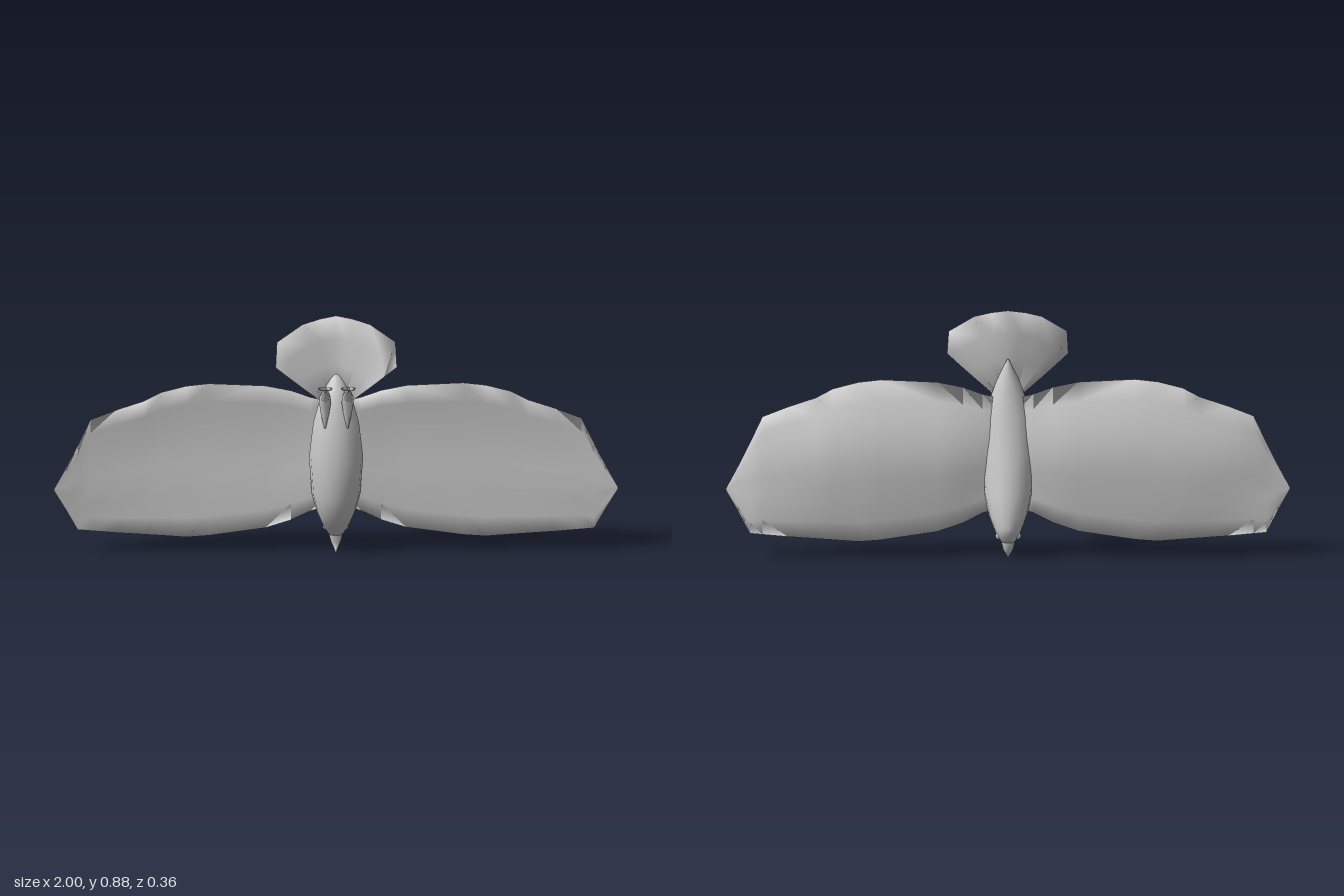
import * as THREE from 'three';
import { mergeVertices } from 'three/addons/utils/BufferGeometryUtils.js';

const grey = new THREE.MeshStandardMaterial({ color: 0xcccccc, side: THREE.DoubleSide });
const V = (x, y, z) => new THREE.Vector3(x, y, z);

// Closed skin through a list of point loops, capped at both ends
function skin(name, loops) {
  const n = loops[0].length, pos = [], idx = [];
  loops.forEach(l => l.forEach(p => pos.push(p.x, p.y, p.z)));
  for (let i = 0; i < loops.length - 1; i++) {
    for (let j = 0; j < n; j++) {
      const a = i * n + j, b = i * n + (j + 1) % n;
      idx.push(a, a + n, b, b, a + n, b + n);
    }
  }
  [0, loops.length - 1].forEach((r, end) => {
    const c = loops[r].reduce((s, p) => s.add(p), V(0, 0, 0)).divideScalar(n);
    const k = pos.length / 3;
    pos.push(c.x, c.y, c.z);
    for (let j = 0; j < n; j++) {
      const a = r * n + j, b = r * n + (j + 1) % n;
      if (end) idx.push(k, b, a); else idx.push(k, a, b);
    }
  });
  let g = new THREE.BufferGeometry();
  g.setAttribute('position', new THREE.Float32BufferAttribute(pos, 3));
  g.setIndex(idx);
  g = mergeVertices(g, 1e-5);
  g.computeVertexNormals();
  const mesh = new THREE.Mesh(g, grey);
  mesh.name = name;
  return mesh;
}

// Horizontal elliptical sections: [y, front z, back z, half width], rising in y
const column = (name, rows, sides, x = 0) => skin(name, rows.map(([y, zf, zb, w]) =>
  Array.from({ length: sides }, (_, j) => {
    const a = j / sides * Math.PI * 2;
    return V(x + Math.cos(a) * w, y, (zf + zb) / 2 + Math.sin(a) * (zf - zb) / 2);
  })));

// Tapered rod between two points
function rod(name, a, b, ra, rb, sides = 5) {
  const m = new THREE.Mesh(new THREE.CylinderGeometry(rb, ra, a.distanceTo(b), sides), grey);
  m.position.copy(a).add(b).multiplyScalar(0.5);
  m.quaternion.setFromUnitVectors(V(0, 1, 0), b.clone().sub(a).normalize());
  m.name = name;
  return m;
}

// Wing: cambered sections along the span, bulging to the back
function wing() {
  // x, trailing y, leading y, bulge
  const stations = [
    [0.03, 0.57, 0.18, 0.02], [0.09, 0.585, 0.16, 0.03], [0.16, 0.61, 0.125, 0.045],
    [0.25, 0.628, 0.095, 0.054], [0.45, 0.637, 0.066, 0.057], [0.53, 0.628, 0.06, 0.057],
    [0.62, 0.605, 0.067, 0.055], [0.68, 0.573, 0.071, 0.052], [0.78, 0.54, 0.078, 0.04],
    [0.87, 0.505, 0.086, 0.026], [0.915, 0.41, 0.09, 0.017], [0.955, 0.33, 0.165, 0.009],
    [1.0, 0.247, 0.243, 0.001],
  ];
  const steps = 8;
  return skin('wing', stations.map(([x, top, bottom, bulge]) => {
    const loop = [];
    const at = (t, depth) => {
      const y = top + (bottom - top) * t;
      const edge = y > 0.25 ? -0.075 : -0.075 - (0.25 - y) * 0.15;
      loop.push(V(x, y, edge - Math.sin(Math.PI * t) * bulge * depth));
    };
    for (let i = 0; i <= steps; i++) at(i / steps, 1.15);
    for (let i = steps - 1; i > 0; i--) at(i / steps, 0.4);
    return loop;
  }));
}

// Tail: shallow V-shaped fan spreading from the rump
function tail() {
  const half = [[0, 0.885, -0.08], [0.06, 0.876, -0.068], [0.12, 0.86, -0.054],
    [0.21, 0.803, -0.028], [0.215, 0.718, 0.002]];
  const rim = [...half.slice(1).reverse().map(([x, y, z]) => [-x, y, z]), ...half];
  return skin('tail', rim.map(([x, y, z], i) => {
    const R = V(x, y, z), B = V((i - 4) * 0.008, 0.562, -0.043);
    const mid = (t, dz) => B.clone().lerp(R, t).add(V(0, 0, dz));
    return [R, mid(0.75, -0.011), mid(0.45, -0.012), B, mid(0.45, 0.005), mid(0.75, 0.004)];
  }));
}

// Leg: feathered thigh, thin shank and a foot with three front toes and one back toe
function leg() {
  const g = new THREE.Group();
  const x = 0.04;
  g.name = 'leg';
  g.add(column('thigh', [[0.495, 0.012, 0.004, 0.003], [0.55, 0.026, -0.01, 0.015],
    [0.59, 0.036, -0.012, 0.021], [0.615, 0.046, -0.008, 0.02],
    [0.634, 0.05, 0.01, 0.014]], 8, x));
  const ankle = V(x, 0.665, 0.092);
  g.add(rod('shank', V(x, 0.615, 0.03), ankle, 0.018, 0.008, 7));
  [[-0.024, 0.16], [0.002, 0.182], [0.026, 0.16]].forEach(([dx, z]) => {
    const knuckle = V(x + dx * 0.7, 0.677, z - 0.03);
    g.add(rod('toe', ankle, knuckle, 0.007, 0.007));
    g.add(rod('claw', knuckle, V(x + dx, 0.69, z), 0.007, 0.001));
  });
  g.add(rod('backToe', ankle, V(x, 0.659, 0.045), 0.007, 0.001));
  return g;
}

function eye() {
  const m = new THREE.Mesh(new THREE.SphereGeometry(0.012, 10, 8), grey);
  m.position.set(0.034, 0.086, -0.143);
  m.name = 'eye';
  return m;
}

export function createModel() {
  const model = new THREE.Group();
  model.name = 'bird';

  // Body and head in one skin, head pointing down
  model.add(column('body', [
    [0.06, -0.108, -0.142, 0.022], [0.085, -0.085, -0.178, 0.04], [0.115, -0.05, -0.181, 0.053],
    [0.155, -0.015, -0.181, 0.068], [0.23, 0.018, -0.172, 0.086], [0.37, 0.032, -0.14, 0.096],
    [0.5, 0.017, -0.115, 0.081], [0.57, 0.002, -0.104, 0.062], [0.63, -0.015, -0.094, 0.04],
    [0.71, -0.077, -0.082, 0.003],
  ], 16));

  // Hooked beak
  model.add(column('beak', [
    [0.003, -0.1, -0.104, 0.002], [0.018, -0.107, -0.124, 0.009], [0.034, -0.113, -0.139, 0.017],
    [0.06, -0.104, -0.144, 0.024], [0.085, -0.1, -0.15, 0.024],
  ], 8));

  model.add(tail());

  // Mirrored pairs
  for (const side of [1, -1]) {
    const half = new THREE.Group();
    half.name = side > 0 ? 'leftSide' : 'rightSide';
    half.add(wing(), leg(), eye());
    half.scale.x = side;
    model.add(half);
  }
  return model;
}
